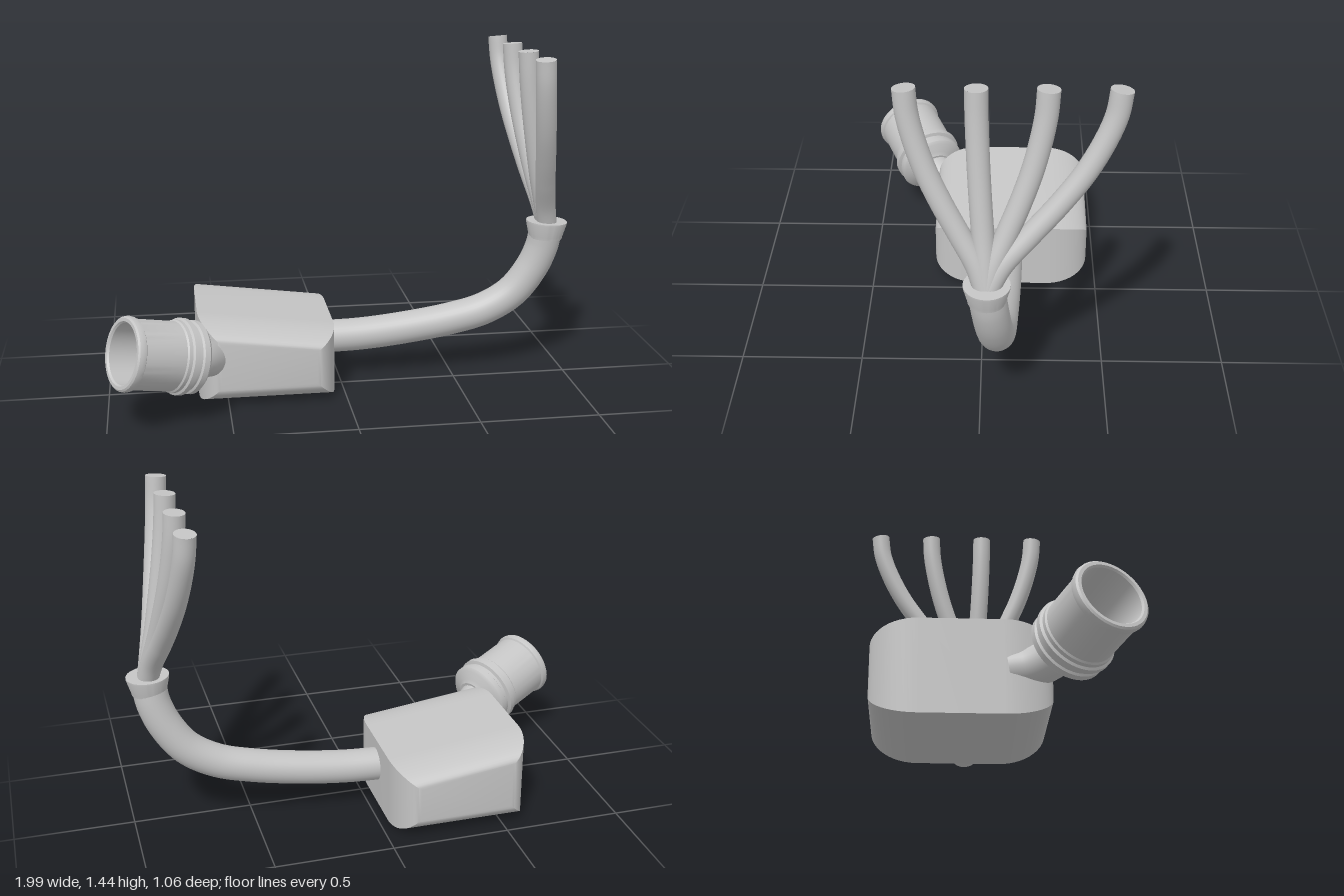
import * as THREE from 'three';
import { toCreasedNormals } from 'three/addons/utils/BufferGeometryUtils.js';

const UP = new THREE.Vector3(0, 1, 0);

export function createModel() {
  const group = new THREE.Group();
  const grey = new THREE.MeshStandardMaterial({ color: 0xc4c4c4 });
  grey.name = 'light grey';

  const add = (geometry, name, parent = group) => {
    const mesh = new THREE.Mesh(geometry, grey);
    mesh.name = name;
    parent.add(mesh);
    return mesh;
  };

  // Round tube along points, with a flat disc closing its far end
  const addTube = (points, radius, name) => {
    const part = new THREE.Group();
    part.name = name;
    const curve = new THREE.CatmullRomCurve3(points.map((p) => new THREE.Vector3(...p)));
    add(new THREE.TubeGeometry(curve, 64, radius, 32), name + 'Tube', part);
    const cap = add(new THREE.CircleGeometry(radius, 32), name + 'End', part);
    cap.position.copy(curve.getPoint(1));
    cap.quaternion.setFromUnitVectors(new THREE.Vector3(0, 0, 1), curve.getTangent(1));
    group.add(part);
  };

  // Junction box: sloping-top section along z, drawn in elliptically at both ends
  add(junctionBox(), 'junctionBox');

  // Main cable
  addTube([
    [-0.1, 0.178, -0.103], [0.1, 0.185, -0.097], [0.3, 0.207, -0.09], [0.5, 0.242, -0.08],
    [0.65, 0.285, -0.072], [0.77, 0.36, -0.063], [0.85, 0.47, -0.05], [0.89, 0.57, -0.038],
    [0.903, 0.65, -0.028],
  ], 0.071, 'mainCable');

  // Flared collar at the top of the cable
  const collarProfile = [[0, 0], [0.072, 0], [0.074, 0.012], [0.088, 0.066], [0.088, 0.074], [0, 0.074]];
  const collar = add(lathe(collarProfile), 'collar');
  collar.position.set(0.902, 0.616, -0.028);
  collar.rotation.z = -0.05;

  // Four wires fanning out of the collar: height, x and share of the sideways spread
  const wirePath = [
    [0.65, 0.91, 0], [0.76, 0.888, 0.12], [0.88, 0.862, 0.34], [1.0, 0.84, 0.56],
    [1.12, 0.82, 0.75], [1.24, 0.803, 0.89], [1.34, 0.792, 0.97], [1.435, 0.785, 1],
  ];
  [0.262, 0.011, -0.24, -0.492].forEach((endZ, i) => {
    const points = wirePath.map(([y, x, f]) => [x, y, -0.025 + (endZ + 0.025) * f]);
    addTube(points, 0.042, 'wire' + (i + 1));
  });

  // Neck joining the plug to the box
  addTube([
    [-0.68, 0.262, 0.277], [-0.63, 0.247, 0.25], [-0.59, 0.222, 0.2], [-0.56, 0.2, 0.13], [-0.55, 0.19, 0.06],
  ], 0.077, 'neck');

  // Hollow plug: back cone, ringed body, lip and socket
  const plugProfile = [
    [0, 0], [0.085, 0], [0.1, 0.012], [0.138, 0.024], [0.15, 0.036], [0.15, 0.06],
    [0.142, 0.066], [0.142, 0.08], [0.156, 0.086], [0.156, 0.108], [0.147, 0.114], [0.147, 0.13],
    [0.141, 0.136], [0.141, 0.315], [0.148, 0.32], [0.151, 0.334], [0.148, 0.348], [0.141, 0.354],
    [0.128, 0.354], [0.122, 0.346], [0.122, 0.13], [0, 0.13],
  ];
  const plug = add(lathe(plugProfile), 'plug');
  const axis = new THREE.Vector3(-0.873, 0.253, 0.42).normalize();
  plug.quaternion.setFromUnitVectors(UP, axis);
  plug.position.set(-0.928, 0.335, 0.396).addScaledVector(axis, -0.354);

  return group;
}

function lathe(profile) {
  const points = profile.map(([r, y]) => new THREE.Vector2(r, y));
  return toCreasedNormals(new THREE.LatheGeometry(points, 56), 0.5);
}

function junctionBox() {
  const zBack = -0.46, zFront = 0.22, depth = 0.18, inset = 0.09, steps = 12;
  const stations = [];
  for (let i = 0; i <= steps; i++) {
    const a = (i / steps) * Math.PI / 2;
    stations.push([zBack + depth * (1 - Math.sin(a)), 1 - Math.cos(a)]);
  }
  // Stations run from the straight middle outwards: mirror them about the centre
  const back = stations.map(([z, t]) => [z, t]).reverse();
  const front = stations.map(([z, t]) => [zBack + zFront - z, t]);
  const rings = [...back, ...front];
  const positions = [], index = [];
  for (const [z, t] of rings) {
    const d = inset * t, x0 = -0.62 + d, x1 = -0.04 - d;
    const top = (x) => 0.37 - (x + 0.62) * 0.13 - 0.075 * t;
    positions.push(x0, d, z, x1, d, z, x1, top(x1), z, x0, top(x0), z);
  }
  for (let i = 0; i < rings.length - 1; i++) {
    for (let k = 0; k < 4; k++) {
      const a = i * 4 + k, b = i * 4 + (k + 1) % 4;
      index.push(a, b, b + 4, a, b + 4, a + 4);
    }
  }
  const n = (rings.length - 1) * 4;
  index.push(0, 2, 1, 0, 3, 2, n, n + 1, n + 2, n, n + 2, n + 3);
  const geometry = new THREE.BufferGeometry();
  geometry.setAttribute('position', new THREE.Float32BufferAttribute(positions, 3));
  geometry.setIndex(index);
  return toCreasedNormals(geometry, 0.5);
}
